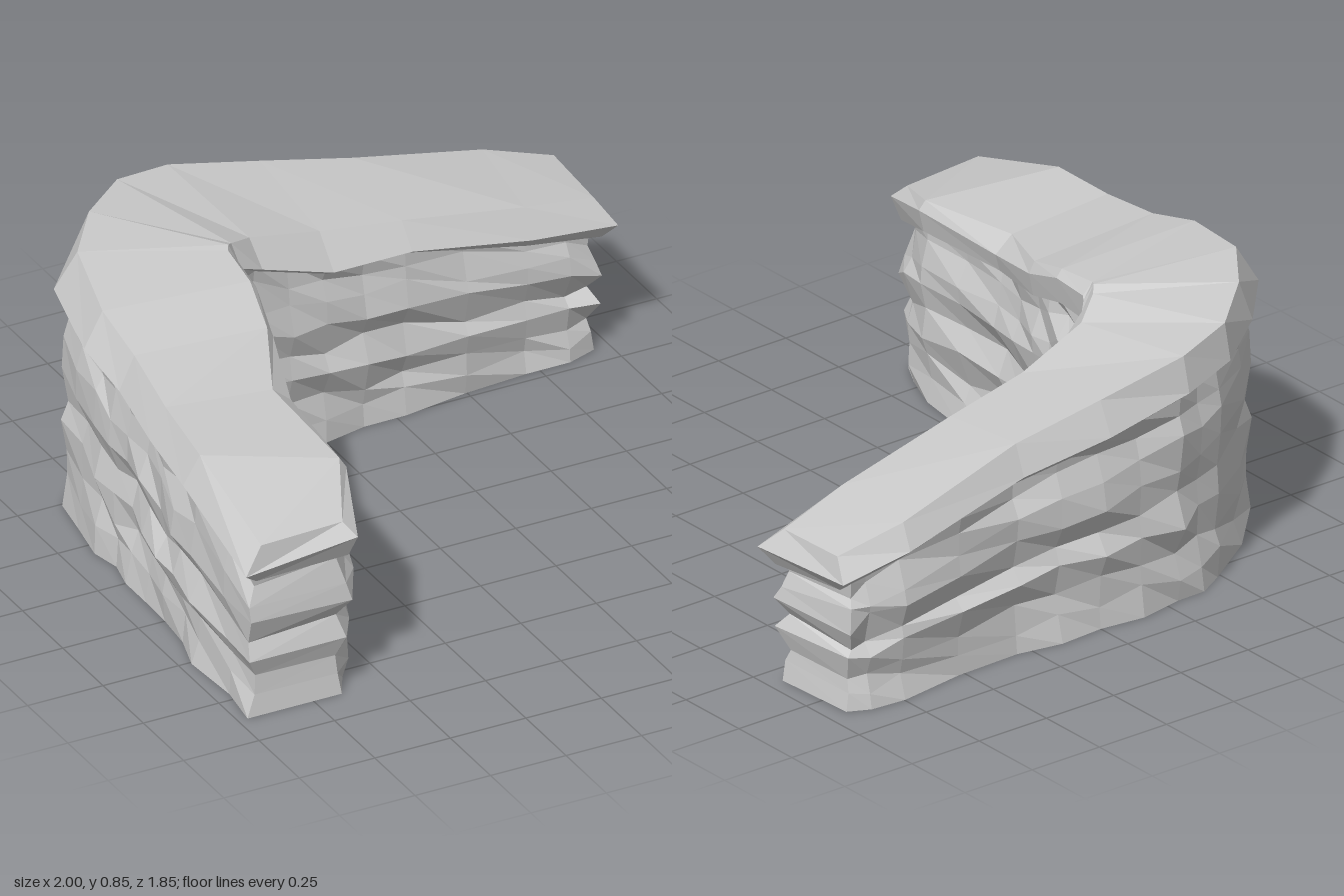
import * as THREE from 'three';

// Stations along the bend: outer lip x,z | inner lip x,z | top y outer, inner | inner lip y |
// bevel width outer, inner | height of the inner undercut
const STATIONS = [
  [-1.0, 0.92, -0.63, 0.92, 0.59, 0.585, 0.545, 0.06, 0.03, 0.07],
  [-0.985, 0.5, -0.53, 0.66, 0.70, 0.655, 0.625, 0.05, 0.02, 0.07],
  [-0.96, 0.25, -0.50, 0.26, 0.72, 0.69, 0.64, 0.05, 0.06, 0.055],
  [-0.93, 0.0, -0.42, 0.0, 0.76, 0.735, 0.70, 0.05, 0.02, 0.075],
  [-0.94, -0.2, -0.38, -0.18, 0.81, 0.79, 0.765, 0.06, 0.02, 0.085],
  [-0.88, -0.5, -0.36, -0.33, 0.85, 0.81, 0.77, 0.07, 0.03, 0.09],
  [-0.70, -0.7, -0.355, -0.34, 0.85, 0.815, 0.76, 0.04, 0.03, 0.08],
  [-0.50, -0.85, -0.34, -0.35, 0.83, 0.80, 0.73, 0.02, 0.04, 0.055],
  [-0.30, -0.91, -0.25, -0.385, 0.80, 0.76, 0.685, 0.025, 0.07, 0.025],
  [0.0, -0.92, 0.0, -0.41, 0.74, 0.69, 0.595, 0.05, 0.09, 0.025],
  [0.30, -0.89, 0.28, -0.45, 0.68, 0.64, 0.57, 0.04, 0.07, 0.025],
  [0.75, -0.925, 0.70, -0.49, 0.57, 0.555, 0.475, 0.04, 0.06, 0.04],
  [0.98, -0.90, 1.0, -0.52, 0.51, 0.50, 0.43, 0.05, 0.07, 0.05],
];

// Rock strata: fraction of wall height and setback of each layer from the mean face
const STRATA = [
  [0, -0.005], [0.13, 0.005], [0.25, 0.01], [0.39, -0.01], [0.51, 0.014],
  [0.66, -0.014], [0.79, -0.006], [0.9, 0.012], [1, 0.006],
];

// Repeatable noise in -1..1
const noise = (a, b) => {
  const s = Math.sin(a * 127.1 + b * 311.7) * 43758.5453;
  return (s - Math.floor(s)) * 2 - 1;
};

// Joins equal rings (outer side upwards, then inner side downwards) and closes both ends
function loft(name, rings) {
  const pos = [];
  const quad = (a, b, c, d) => [a, b, c, a, c, d].forEach((p) => pos.push(p.x, p.y, p.z));
  const n = rings[0].length;
  for (let i = 0; i < rings.length - 1; i++) {
    const r = rings[i], s = rings[i + 1];
    for (let j = 0; j < n; j++) {
      const k = (j + 1) % n;
      quad(r[j], r[k], s[k], s[j]);
    }
  }
  const first = rings[0], last = rings[rings.length - 1];
  for (let j = 0; j < n / 2 - 1; j++) {
    quad(first[j], first[n - 1 - j], first[n - 2 - j], first[j + 1]);
    quad(last[j], last[j + 1], last[n - 2 - j], last[n - 1 - j]);
  }
  const geo = new THREE.BufferGeometry();
  geo.setAttribute('position', new THREE.Float32BufferAttribute(pos, 3));
  geo.computeVertexNormals();
  const mesh = new THREE.Mesh(geo, new THREE.MeshStandardMaterial({ color: 0xcccccc, flatShading: true }));
  mesh.name = name;
  return mesh;
}

// Names the values of a station and adds placers for points set back from either lip
function section([ox, oz, ix, iz, topO, topI, lipI, bevelO, bevelI, drop]) {
  const w = new THREE.Vector2(ix - ox, iz - oz).normalize();
  return {
    topO, topI, lipI, bevelO, bevelI,
    lipO: topO * 0.86,
    underI: lipI - drop,
    cut: ix > -0.3 ? 0.042 : 0.015, // the right arm is undercut more deeply
    outer: (inset, y) => new THREE.Vector3(ox + w.x * inset, y, oz + w.y * inset),
    inner: (inset, y) => new THREE.Vector3(ix - w.x * inset, y, iz - w.y * inset),
  };
}

// Pulls a point of the first or last ring back from the end of the wall
function pullEnd(p, i, count, depth) {
  if (i === 0) p.z -= depth;
  if (i === count - 1) p.x -= depth;
  return p;
}

// Overhanging coping with bevelled edges and an undercut
function buildCoping() {
  const depth = [0.03, 0, 0.02, 0.04, 0, 0.03];
  return loft('coping', STATIONS.map((station, i) => {
    const s = section(station);
    const ring = [
      s.outer(0.05, s.lipO - 0.04), s.outer(0, s.lipO), s.outer(s.bevelO, s.topO),
      s.inner(s.bevelI, s.topI), s.inner(0, s.lipI), s.inner(s.cut, s.underI),
    ];
    return ring.map((p, j) => pullEnd(p, i, STATIONS.length, depth[j]));
  }));
}

// Layered rock body with irregular ledges; the tight inner corner gets no extra sections
function buildWall() {
  const fine = [];
  STATIONS.forEach((s, i) => {
    fine.push(s);
    const t = STATIONS[i + 1];
    if (t && i !== 5 && i !== 6) fine.push(s.map((v, k) => (v + t[k]) / 2));
  });
  return loft('rockWall', fine.map((station, i) => {
    const s = section(station);
    const side = (place, inset, top, seed) => STRATA.map(([f, d], j) => {
      const edge = j === 0 || j === STRATA.length - 1;
      const y = f * top + (edge ? 0 : noise(i + seed, j) * 0.02);
      const p = place(inset + d + noise(j + seed, i + 7) * 0.015, y);
      return pullEnd(p, i, fine.length, 0.055 + d);
    });
    return [
      ...side(s.outer, 0.04, s.lipO - 0.025, 3),
      ...side(s.inner, s.cut + 0.005, s.underI + 0.015, 41).reverse(),
    ];
  }));
}

export function createModel() {
  const group = new THREE.Group();
  group.name = 'curvedRockWall';
  group.add(buildWall(), buildCoping());
  return group;
}
